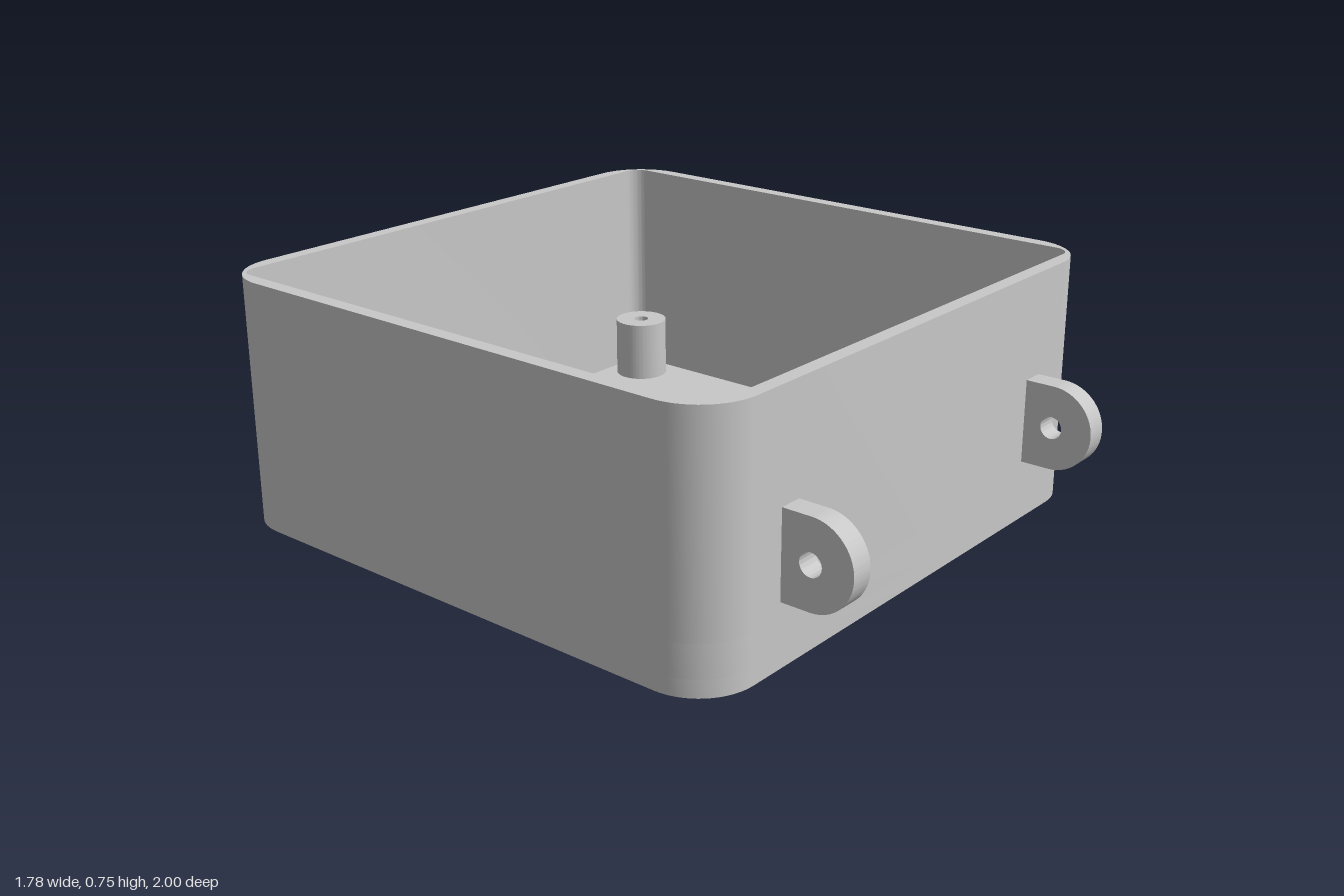
import * as THREE from 'three';
import { toCreasedNormals } from 'three/addons/utils/BufferGeometryUtils.js';

const HALF = 0.888, INNER = 0.845;       // outer and inner half widths
const FLOOR = 0.05, HEIGHT = 0.745;
const SLOT_X = 0.1, SLOT_TOP = 0.145;    // cable slot in the back wall
const CENTRE_Z = -0.099;

// Rounded square, counterclockwise, starting at the corner left of the back edge
function roundedSquare(half, r, steps = 14) {
  const points = [];
  const c = half - r;
  [[-c, c], [-c, -c], [c, -c], [c, c]].forEach(([x, y], i) => {
    for (let k = 0; k <= steps; k++) {
      const a = Math.PI / 2 * (1 + i + k / steps);
      points.push(new THREE.Vector2(x + r * Math.cos(a), y + r * Math.sin(a)));
    }
  });
  return points;
}

function circle(x, y, r) {
  return new THREE.Path().absarc(x, y, r, 0, Math.PI * 2, true);
}

function rectangle(x0, y0, x1, y1) {
  return [[x0, y0], [x1, y0], [x1, y1], [x0, y1]].map(([x, y]) => new THREE.Vector2(x, y));
}

// Outlines run counterclockwise so that the hole walls face the right way
function extrude(shape, depth, hole) {
  if (hole) shape.holes.push(hole);
  const geometry = new THREE.ExtrudeGeometry(shape, { depth, bevelEnabled: false, curveSegments: 48 });
  return toCreasedNormals(geometry, 0.5);
}

export function createModel() {
  const group = new THREE.Group();
  const grey = new THREE.MeshStandardMaterial({ color: 0xc8c8c8 });
  grey.name = 'grey plastic';

  function add(name, geometry, x = 0, y = 0, z = 0) {
    const mesh = new THREE.Mesh(geometry, grey);
    mesh.name = name;
    mesh.position.set(x, y, z);
    group.add(mesh);
  }
  // Upright slab between two heights from a plan outline
  function slab(name, shape, y0, y1, hole, x = 0, z = 0) {
    add(name, extrude(shape, y1 - y0, hole).rotateX(-Math.PI / 2), x, y0, CENTRE_Z + z);
  }

  const outer = roundedSquare(HALF, 0.17);
  const inner = roundedSquare(INNER, 0.05);

  // Floor with the large round opening
  slab('floor', new THREE.Shape(outer), 0, FLOOR, circle(0, 0, 0.67));

  // Lower wall, interrupted at the back by the slot
  const lower = new THREE.Shape([
    new THREE.Vector2(-SLOT_X, HALF), ...outer, new THREE.Vector2(SLOT_X, HALF),
    new THREE.Vector2(SLOT_X, INNER), ...[...inner].reverse(), new THREE.Vector2(-SLOT_X, INNER),
  ]);
  slab('lowerWall', lower, FLOOR, SLOT_TOP);

  // Upper wall, a closed ring
  slab('upperWall', new THREE.Shape(outer), SLOT_TOP, HEIGHT, new THREE.Path(inner));

  // Screw posts in the four corners
  for (const x of [-0.733, 0.733]) {
    for (const z of [-0.733, 0.733]) {
      const disc = new THREE.Shape().absarc(0, 0, 0.086, 0, Math.PI * 2, false);
      slab('screwPost', disc, FLOOR, 0.245, circle(0, 0, 0.025), x, z);
    }
  }

  // Raised frame around the slot
  const frame = new THREE.Shape(rectangle(-0.13, 0.025, 0.13, 0.175));
  const opening = new THREE.Path(rectangle(-SLOT_X, FLOOR, SLOT_X, SLOT_TOP));
  add('slotFrame', extrude(frame, 0.014, opening), 0, 0, -1);

  // Round-ended hinge lugs on the front
  for (const side of [-1, 1]) {
    const lug = new THREE.Shape()
      .moveTo(0.78, 0.184)
      .lineTo(0.875, 0.184)
      .absarc(0.875, 0.309, 0.125, -Math.PI / 2, Math.PI / 2, false)
      .lineTo(0.78, 0.434);
    const geometry = extrude(lug, 0.068, circle(0.875, 0.309, 0.033)).rotateY(-Math.PI / 2);
    add(side > 0 ? 'leftLug' : 'rightLug', geometry, side * 0.581 + 0.034);
  }

  return group;
}
